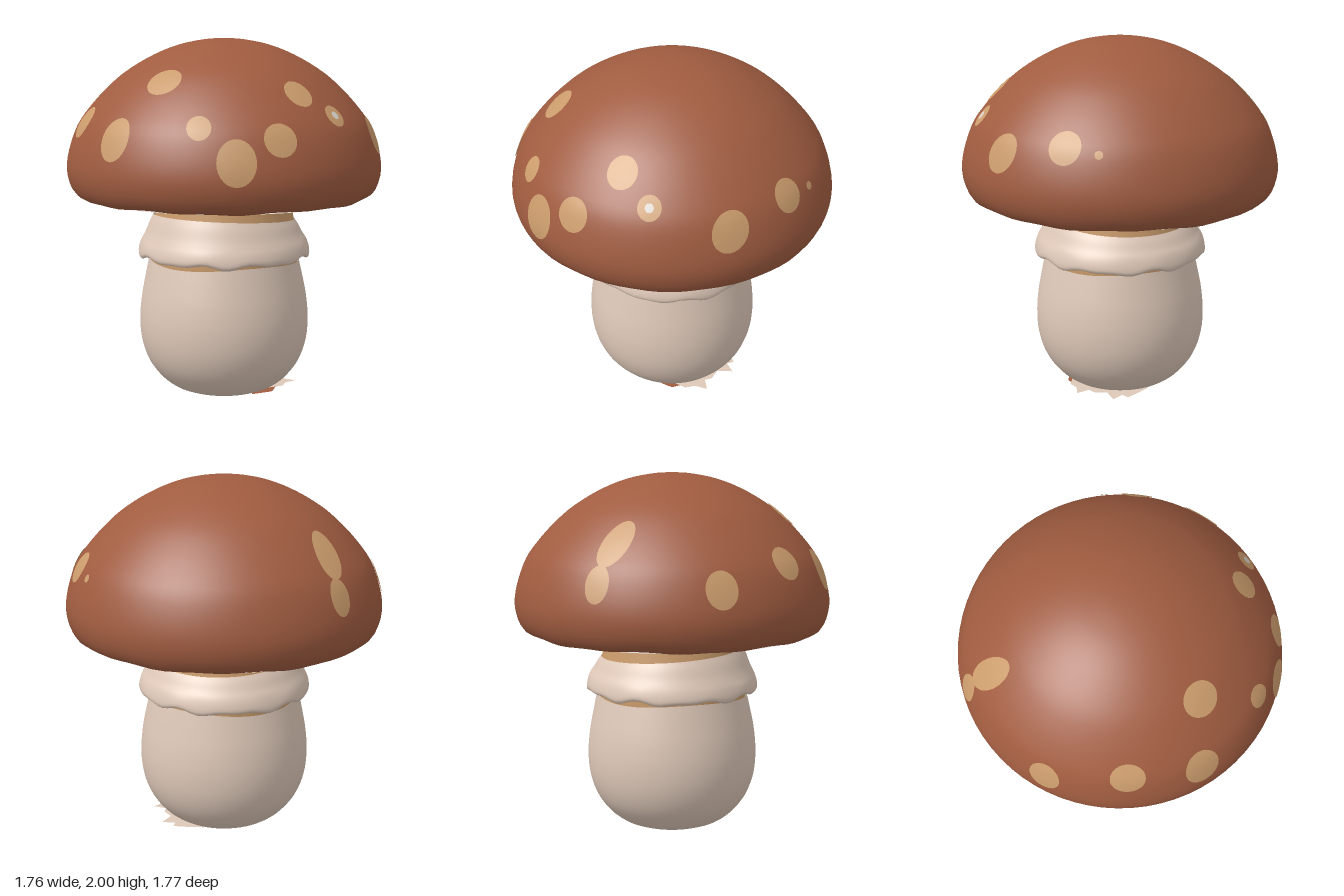
import * as THREE from 'three';
import { mergeVertices } from 'three/addons/utils/BufferGeometryUtils.js';

const paint = (name, color) => {
  const m = new THREE.MeshStandardMaterial({ color, side: THREE.DoubleSide });
  m.name = name;
  return m;
};

// Weld the seams so that the normals run smoothly all round
function weld(geo) {
  geo.deleteAttribute('uv');
  geo.deleteAttribute('normal');
  const g = mergeVertices(geo, 1e-5);
  g.computeVertexNormals();
  return g;
}

// Smooth turned surface; lift(angle, radius, y) returns a height offset
function turned(profile, steps, segments, lift) {
  const curve = new THREE.SplineCurve(profile.map(([r, y]) => new THREE.Vector2(r, y)));
  const pts = curve.getSpacedPoints(steps);
  pts.forEach(p => { p.x = Math.max(p.x, 0); });
  const geo = new THREE.LatheGeometry(pts, segments);
  if (lift) {
    const pos = geo.attributes.position;
    for (let i = 0; i < pos.count; i++) {
      const x = pos.getX(i), y = pos.getY(i), z = pos.getZ(i);
      pos.setY(i, y + lift(Math.atan2(x, z), Math.hypot(x, z), y));
    }
  }
  return weld(geo);
}

const capProfile = [
  [0.77, 1.125], [0.815, 1.128], [0.855, 1.17], [0.882, 1.27], [0.868, 1.385], [0.82, 1.52],
  [0.755, 1.615], [0.66, 1.72], [0.55, 1.815], [0.4, 1.905], [0.25, 1.965], [0.1, 1.995], [0, 2],
];
const capCurve = new THREE.SplineCurve(capProfile.map(([r, y]) => new THREE.Vector2(r, y)));
const capLength = capCurve.getLength();

// Thin oval patch that follows the cap: angle, height, half width, half height, tilt
function spotGeometry(angle, y, a, b, tilt = 0, raise = 0.005) {
  let lo = 0.05, hi = 1;
  for (let i = 0; i < 30; i++) {
    const mid = (lo + hi) / 2;
    if (capCurve.getPointAt(mid).y < y) lo = mid; else hi = mid;
  }
  const r0 = capCurve.getPointAt(lo).x;
  const geo = new THREE.RingGeometry(0, 1, 28, 4);
  const pos = geo.attributes.position;
  for (let i = 0; i < pos.count; i++) {
    const px = pos.getX(i) * a, py = pos.getY(i) * b;
    const u = px * Math.cos(tilt) + py * Math.sin(tilt);
    const v = py * Math.cos(tilt) - px * Math.sin(tilt);
    const t = THREE.MathUtils.clamp(lo + v / capLength, 0, 1);
    const p = capCurve.getPointAt(t), d = capCurve.getTangentAt(t);
    const r = p.x + d.y * raise, th = angle + u / ((r0 + p.x) / 2);
    pos.setXYZ(i, r * Math.sin(th), p.y - d.x * raise, r * Math.cos(th));
  }
  return weld(geo);
}

// Flat ragged scrap lying at height y, outlined in x and z
function scrapGeometry(outline, y) {
  const shape = new THREE.Shape(outline.map(([x, z]) => new THREE.Vector2(x, -z)));
  return new THREE.ShapeGeometry(shape).rotateX(-Math.PI / 2).translate(0, y, 0);
}

export function createModel() {
  const model = new THREE.Group();
  model.name = 'mushroom';
  const red = paint('cap red brown', 0xa05c40);
  const tan = paint('tan', 0xcb9c6c);
  const cream = paint('cream', 0xdec8b8);
  const pale = paint('pale rim', 0xd9d2cc);
  const add = (name, geo, mat, parent = model) => {
    const m = new THREE.Mesh(geo, mat);
    m.name = name;
    parent.add(m);
  };

  // Cap with a faintly uneven lower edge
  add('cap', turned(capProfile, 40, 72, (t, r, y) =>
    y < 1.2 ? 0.006 * (1 + Math.sin(11 * t) * Math.cos(4 * t)) * (1.2 - y) / 0.075 : 0), red);

  // Hollow underside: pale border and ridged gills
  add('capRim', turned([[0.645, 1.168], [0.71, 1.15], [0.785, 1.127]], 4, 72), pale);
  add('gills', turned([[0.3, 1.175], [0.48, 1.172], [0.66, 1.164]], 8, 144,
    (t, r) => 0.006 * Math.sin(36 * t + 9 * r) * Math.sin((r - 0.3) / 0.36 * Math.PI)), tan);

  // Spots
  const spots = new THREE.Group();
  spots.name = 'spots';
  model.add(spots);
  const at = Math.atan2;
  [
    [at(-0.41, 0.44), 1.775, 0.095, 0.095],
    [at(-0.66, 0.48), 1.49, 0.095, 0.12],
    [at(-0.285, 0.73), 1.56, 0.062, 0.07, -0.3],
    [at(-0.125, 0.86), 1.395, 0.1, 0.12],
    [at(0.105, 0.82), 1.5, 0.087, 0.09],
    [at(0.25, 0.61), 1.715, 0.078, 0.088],
    [at(0.44, 0.62), 1.6, 0.06, 0.066],
    [at(0.74, 0.37), 1.48, 0.095, 0.11, 0.5],
    [at(0.8, 0.01), 1.545, 0.085, 0.09],
    [at(0.8, -0.165), 1.52, 0.022, 0.022],
    [at(-0.78, 0.12), 1.555, 0.09, 0.095],
    [at(-0.78, -0.3), 1.45, 0.085, 0.1],
    [at(-0.34, -0.61), 1.665, 0.078, 0.15, 0.25],
    [at(-0.36, -0.74), 1.47, 0.066, 0.1],
  ].forEach((s, i) => add('spot' + (i + 1), spotGeometry(...s), tan, spots));
  add('spotCentre', spotGeometry(at(0.44, 0.62), 1.6, 0.022, 0.024, 0, 0.009), pale, spots);

  // Stalk: tan neck running behind the skirt, and a bulging lower body
  add('neck', turned([[0.418, 0.7], [0.42, 0.8], [0.412, 0.9], [0.395, 1.0], [0.38, 1.1], [0.37, 1.18]], 14, 56), tan);
  add('stalk', turned([
    [0.3, 0.03], [0.36, 0.075], [0.43, 0.165], [0.472, 0.28], [0.484, 0.41],
    [0.473, 0.54], [0.45, 0.66], [0.428, 0.762],
  ], 22, 56, (t, r, y) => Math.max(0, y - 0.6) * 0.06 * Math.sin(3 * t + 1)), cream);
  add('base', turned([[0, 0], [0.15, 0.004], [0.28, 0.016], [0.302, 0.032]], 6, 56), cream);

  // Skirt with a wavy lip and a slanting top edge
  add('skirt', turned([
    [0.422, 0.815], [0.455, 0.795], [0.48, 0.788], [0.488, 0.81], [0.475, 0.86],
    [0.445, 0.915], [0.422, 0.965], [0.402, 1.0],
  ], 24, 80, (t, r, y) => y < 0.88
    ? (0.008 * Math.sin(9 * t) + 0.006 * Math.sin(14 * t + 1)) * (0.88 - y) / 0.09
    : (y - 0.88) / 0.12 * 0.02 * (Math.cos(t) - Math.sin(t))), cream);

  // Torn scraps at the foot
  add('footScrap', scrapGeometry([
    [0.2, -0.24], [0.3, -0.2], [0.36, -0.17], [0.34, -0.13], [0.41, -0.1], [0.34, -0.04],
    [0.36, 0.03], [0.34, 0.07], [0.4, 0.12], [0.33, 0.15], [0.3, 0.2], [0.2, 0.22],
  ], 0.033), cream);
  add('footFlake', scrapGeometry([[0.1, 0.27], [0.2, 0.25], [0.23, 0.24], [0.29, 0.12], [0.15, 0.15]], 0.018), red);

  return model;
}
